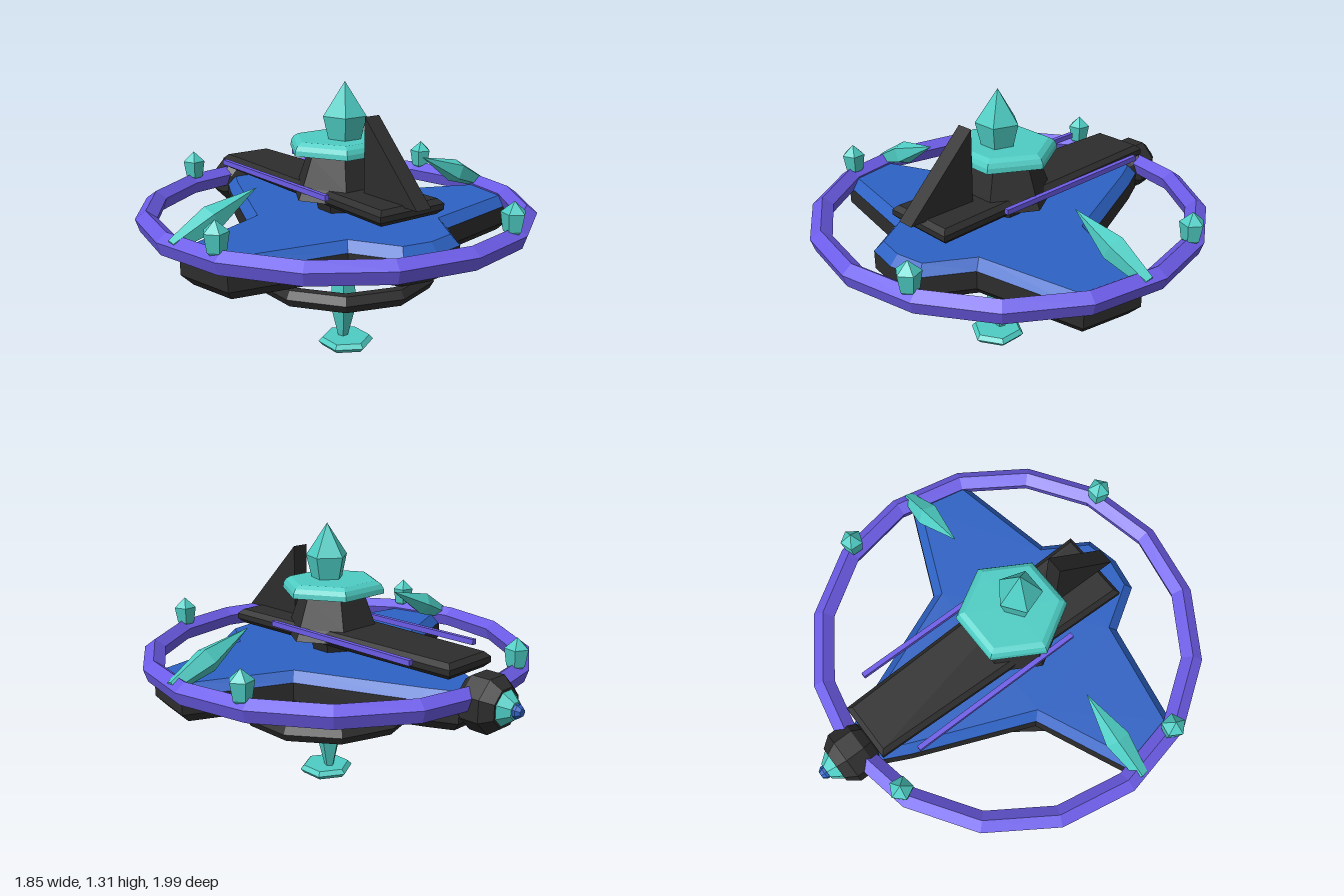
import * as THREE from 'three';

const paint = (name, color) => {
  const m = new THREE.MeshStandardMaterial({ color });
  m.name = name;
  return m;
};

export function createModel() {
  const model = new THREE.Group();
  const black = paint('charcoal', 0x2d2d2d);
  const blue = paint('blue', 0x2d62c4);
  const teal = paint('teal', 0x4ecdc4);
  const purple = paint('purple', 0x6c5ce7);

  const add = (name, geometry, material, x = 0, y = 0, z = 0) => {
    const flat = geometry.index ? geometry.toNonIndexed() : geometry;
    flat.computeVertexNormals();
    const mesh = new THREE.Mesh(flat, material);
    mesh.name = name;
    mesh.position.set(x, y, z);
    model.add(mesh);
    return mesh;
  };

  // Faceted turned solid, profile listed from bottom to top as [radius, y]
  const turned = (profile, sides, phase = 0) =>
    new THREE.LatheGeometry(profile.map(([r, y]) => new THREE.Vector2(r, y)), sides, phase);

  // Hoop with a polygonal cross-section
  const hoop = (radius, tube, tubeSides, sides, turn) => {
    const profile = [];
    for (let i = 0; i <= tubeSides; i++) {
      const a = turn + (i / tubeSides) * Math.PI * 2;
      profile.push([radius + tube * Math.cos(a), tube * Math.sin(a)]);
    }
    return turned(profile, sides);
  };

  // Bevelled slab from the right half of a plan outline, [x, z] from front to back
  const slab = (half, y0, y1, bevel, inset) => {
    const mirrored = half.filter(([x]) => x > 0).reverse().map(([x, z]) => [-x, z]);
    const shape = new THREE.Shape([...half, ...mirrored].map(([x, z]) => new THREE.Vector2(x, -z)));
    const g = new THREE.ExtrudeGeometry(shape, {
      depth: y1 - y0 - 2 * bevel, bevelThickness: bevel, bevelSize: inset,
      bevelOffset: -inset, bevelSegments: 1,
    });
    return g.rotateX(-Math.PI / 2).translate(0, y0 + bevel, 0);
  };

  // Winged hull: upward faces blue, walls and underside black
  const hull = slab([
    [0, 0.755], [0.16, 0.725], [0.285, 0.52], [0.8, 0.42], [0.855, 0.13],
    [0.4, -0.07], [0.17, -0.62], [0.1, -0.76],
  ], 0.535, 0.71, 0.045, 0.04);
  hull.computeVertexNormals();
  hull.clearGroups();
  const normals = hull.attributes.normal;
  for (let i = 0; i < normals.count; i += 3) hull.addGroup(i, 3, normals.getY(i) > 0.1 ? 1 : 0);
  add('hull', hull, [black, blue]);

  // Raised deck, its pedestal and side rails
  add('deck', slab([[0.18, 0.6], [0.14, -0.735]], 0.77, 0.84, 0.022, 0.022), black);
  add('deckPedestal', new THREE.CylinderGeometry(0.12, 0.09, 0.1, 6), black, 0, 0.735, 0.09);
  for (const side of [1, -1]) {
    add('deckRail', new THREE.BoxGeometry(0.023, 0.025, 0.87), purple, side * 0.213, 0.835, -0.155);
  }

  // Upright triangular fin on the bow
  const finShape = new THREE.Shape([[-0.665, 0.833], [-0.32, 0.833], [-0.32, 1.178]]
    .map(([u, v]) => new THREE.Vector2(u, v)));
  const fin = new THREE.ExtrudeGeometry(finShape, { depth: 0.08, bevelEnabled: false });
  add('bowFin', fin.translate(0, 0, -0.04).rotateY(Math.PI / 2), black);

  // Hexagonal tower with roof and spire
  add('tower', turned([[0, 0.785], [0.235, 0.785], [0.21, 0.84], [0.16, 0.975], [0.145, 1], [0, 1]],
    6, Math.PI / 2), black, 0, 0, 0.095);
  add('towerRoof', turned([[0, 0.992], [0.25, 0.992], [0.247, 1.015], [0.235, 1.035], [0.21, 1.05], [0, 1.05]],
    6, Math.PI / 2), teal, 0, 0, 0.092);
  add('spire', turned([[0, 1.04], [0.075, 1.04], [0.103, 1.155], [0, 1.308]], 5, Math.PI), teal, 0, 0, 0.128);

  // Large ring around the hull with four crystals
  add('outerRing', hoop(0.877, 0.052, 5, 16, -Math.PI * 0.3), purple, 0, 0.702, 0.065);
  for (let i = 0; i < 4; i++) {
    const a = THREE.MathUtils.degToRad(-20.4) + i * Math.PI / 2;
    add('ringCrystal', turned([[0, 0.665], [0.016, 0.715], [0.043, 0.745], [0.056, 0.823], [0, 0.872]], 5, 0.3 + i),
      teal, 0.873 * Math.cos(a), 0, 0.065 + 0.873 * Math.sin(a));
  }

  // Leaning crystals over the wing tips
  for (const side of [1, -1]) {
    const base = new THREE.Vector3(side * 0.89, 0.715, 0.14);
    const axis = new THREE.Vector3(side * 0.48, 0.895, 0.135).sub(base);
    const n = axis.length();
    const crystal = add('wingCrystal',
      turned([[0, 0], [0.03, 0], [0.06, n * 0.45], [0, n]], 5, Math.PI), teal, ...base);
    crystal.quaternion.setFromUnitVectors(new THREE.Vector3(0, 1, 0), axis.normalize());
  }

  // Stern engine, turned around the z axis
  const stern = [
    ['engineBody', black, 8, [[0, 0.7], [0.1, 0.74], [0.13, 0.78], [0.13, 0.87], [0.09, 0.922], [0, 0.922]]],
    ['engineNozzle', teal, 8, [[0, 0.91], [0.085, 0.915], [0.04, 0.97], [0, 0.97]]],
    ['engineTip', blue, 8, [[0, 0.955], [0.032, 0.965], [0.032, 0.982], [0.018, 1], [0, 1]]],
  ];
  for (const [name, material, sides, profile] of stern) {
    add(name, turned(profile, sides, Math.PI / 8).rotateX(-Math.PI / 2), material, 0, 0.67, 0);
  }

  // Floating lower ring with hanging crystal and foot plate
  add('lowerRing', hoop(0.395, 0.043, 6, 10, 0), black, 0, 0.403, 0.122);
  add('hangingCrystal', turned([
    [0, 0], [0.012, 0.04], [0.025, 0.08], [0.066, 0.245], [0.053, 0.4], [0.053, 0.483], [0, 0.483],
  ], 5, Math.PI), teal, 0, 0, 0.125);
  add('footPlate', turned([[0, 0.037], [0.115, 0.037], [0.134, 0.058], [0.115, 0.079], [0, 0.079]], 6),
    teal, 0, 0, 0.148);

  return model;
}
